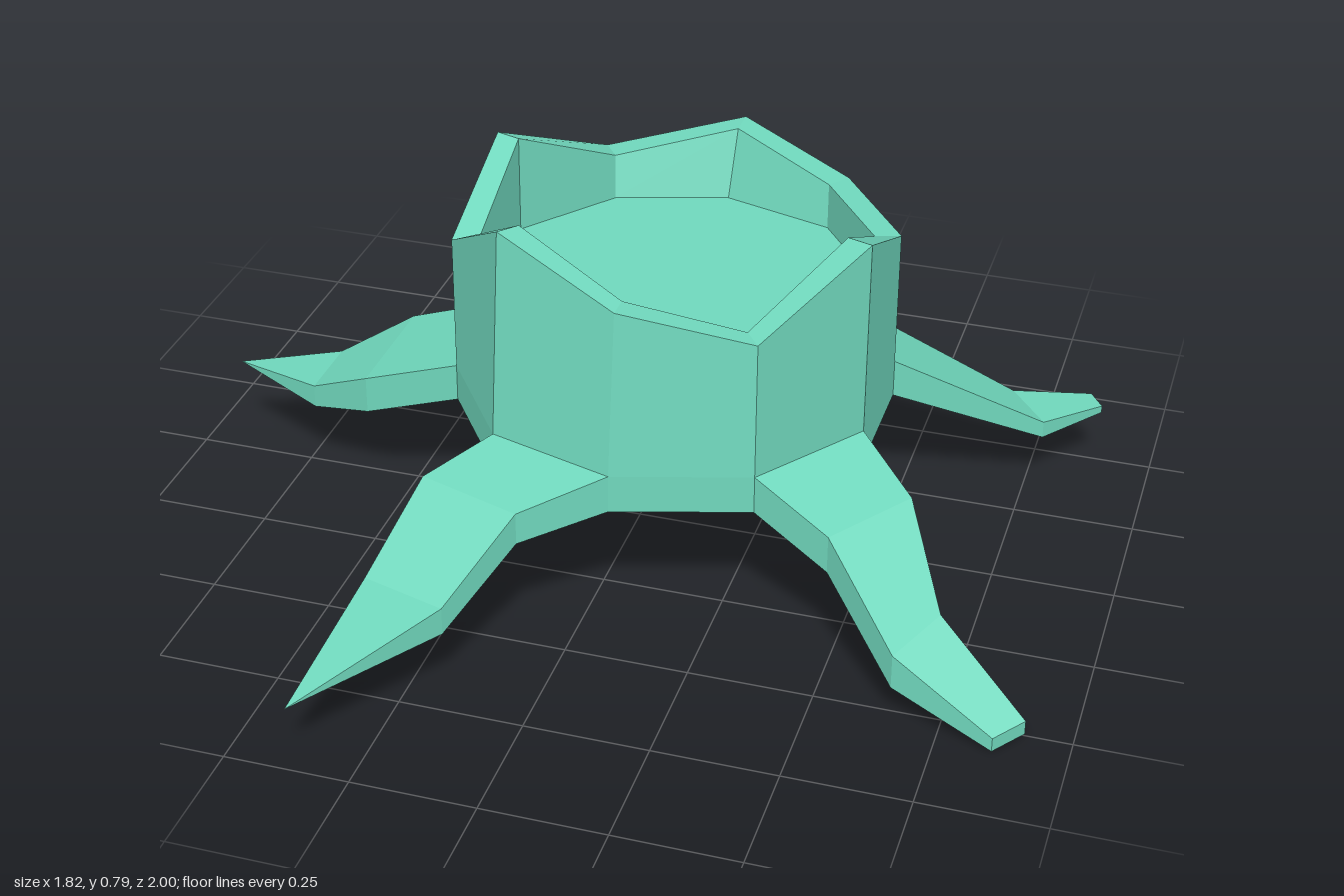
import * as THREE from 'three';

const material = new THREE.MeshStandardMaterial({ color: 0x70d8bd, side: THREE.DoubleSide });

const BASE = 0.29, COLLAR = 0.37, FLOOR = 0.56;
const CX = 0.07, CZ = -0.02, INSET = 0.88;

// Trunk corners, anticlockwise from above: x, z at the foot, z at the rim, rim height
const corners = [
  [-0.355, -0.16, -0.16, 0.768], [-0.355, 0.12, 0.12, 0.66],
  [-0.195, 0.345, 0.292, 0.79], [0.067, 0.425, 0.382, 0.705],
  [0.335, 0.345, 0.345, 0.66], [0.495, 0.12, 0.12, 0.782],
  [0.495, -0.16, -0.16, 0.66], [0.335, -0.38, -0.38, 0.66],
  [0.07, -0.46, -0.54, 0.69], [-0.19, -0.38, -0.38, 0.66],
];

// Each root grows from the wall between two corners.
// Stations outward: left x, z, right x, z, top, bottom, rise of the right side
const roots = [
  { name: 'rightRoot', from: 0, stations: [
    [-0.56, -0.16, -0.56, 0.115, 0.30, 0.22, 0],
    [-0.70, -0.085, -0.70, 0.068, 0.23, 0.18, 0],
    [-0.908, -0.02, -0.908, -0.02, 0.205, 0.205, 0]] },
  { name: 'frontRoot', from: 2, stations: [
    [-0.295, 0.47, -0.08, 0.542, 0.33, 0.262, 0],
    [-0.345, 0.66, -0.17, 0.712, 0.208, 0.15, 0],
    [-0.37, 0.997, -0.37, 0.997, 0.137, 0.137, 0]] },
  { name: 'frontLeftRoot', from: 4, stations: [
    [0.495, 0.40, 0.617, 0.22, 0.30, 0.22, 0],
    [0.655, 0.53, 0.722, 0.42, 0.15, 0.077, 0.033],
    [0.858, 0.565, 0.908, 0.495, 0.03, 0, 0]] },
  { name: 'backLeftRoot', from: 6, stations: [
    [0.785, -0.34, 0.70, -0.45, 0.17, 0.133, 0],
    [0.89, -0.465, 0.86, -0.51, 0.156, 0.14, 0]] },
  { name: 'backRoot', from: 8, stations: [
    [-0.10, -0.62, -0.25, -0.57, 0.33, 0.28, 0],
    [-0.16, -0.75, -0.275, -0.75, 0.255, 0.205, 0],
    [-0.215, -0.94, -0.29, -0.91, 0.17, 0.148, 0],
    [-0.27, -1, -0.27, -1, 0.13, 0.13, 0]] },
];

// Flat facets: every polygon shares one averaged normal
function makeMesh(name, polygons) {
  const positions = [], normals = [];
  for (const polygon of polygons) {
    const normal = new THREE.Vector3();
    polygon.forEach((p, i) => {
      normal.add(new THREE.Vector3().crossVectors(p, polygon[(i + 1) % polygon.length]));
    });
    normal.normalize();
    for (let i = 1; i < polygon.length - 1; i++) {
      const triangle = [polygon[0], polygon[i], polygon[i + 1]];
      if (new THREE.Triangle(...triangle).getArea() < 1e-7) continue;
      for (const p of triangle) {
        positions.push(p.x, p.y, p.z);
        normals.push(normal.x, normal.y, normal.z);
      }
    }
  }
  const geometry = new THREE.BufferGeometry();
  geometry.setAttribute('position', new THREE.Float32BufferAttribute(positions, 3));
  geometry.setAttribute('normal', new THREE.Float32BufferAttribute(normals, 3));
  const mesh = new THREE.Mesh(geometry, material);
  mesh.name = name;
  return mesh;
}

// Skin closed rings of points into quads
function loft(rings) {
  return rings.slice(1).flatMap((upper, i) => upper.map((p, j) => {
    const k = (j + 1) % upper.length;
    return [rings[i][j], rings[i][k], upper[k], p];
  }));
}

const point = (x, y, z) => new THREE.Vector3(x, y, z);
const inset = (p, y) => point(CX + (p.x - CX) * INSET, y, CZ + (p.z - CZ) * INSET);

export function createModel() {
  const group = new THREE.Group();
  group.name = 'treeStump';

  // Trunk wall: collar, jagged rim, and inner wall down to the cut face
  const foot = corners.map(([x, z]) => point(x, BASE, z));
  const collar = corners.map(([x, z]) => point(x, COLLAR, z));
  const rim = corners.map(([x, , z, y]) => point(x, y, z));
  const innerRim = rim.map((p) => inset(p, p.y));
  const floor = foot.map((p) => inset(p, FLOOR));
  group.add(makeMesh('trunkWall', loft([foot, collar, rim, innerRim, floor])));
  group.add(makeMesh('cutFace', [floor]));

  // Hollow underside, narrowing up to the back of the cut face
  group.add(makeMesh('hollowUnderside', loft([floor, foot])));

  // Tapering roots
  for (const { name, from, stations } of roots) {
    const [lx, lz] = corners[from], [rx, rz] = corners[from + 1];
    const start = [lx, lz, rx, rz, COLLAR, BASE, 0];
    const rings = [start, ...stations].map(([ax, az, bx, bz, top, bottom, rise]) => [
      point(ax, bottom, az), point(bx, bottom + rise, bz),
      point(bx, top + rise, bz), point(ax, top, az),
    ]);
    group.add(makeMesh(name, [...loft(rings), rings[rings.length - 1]]));
  }
  return group;
}
